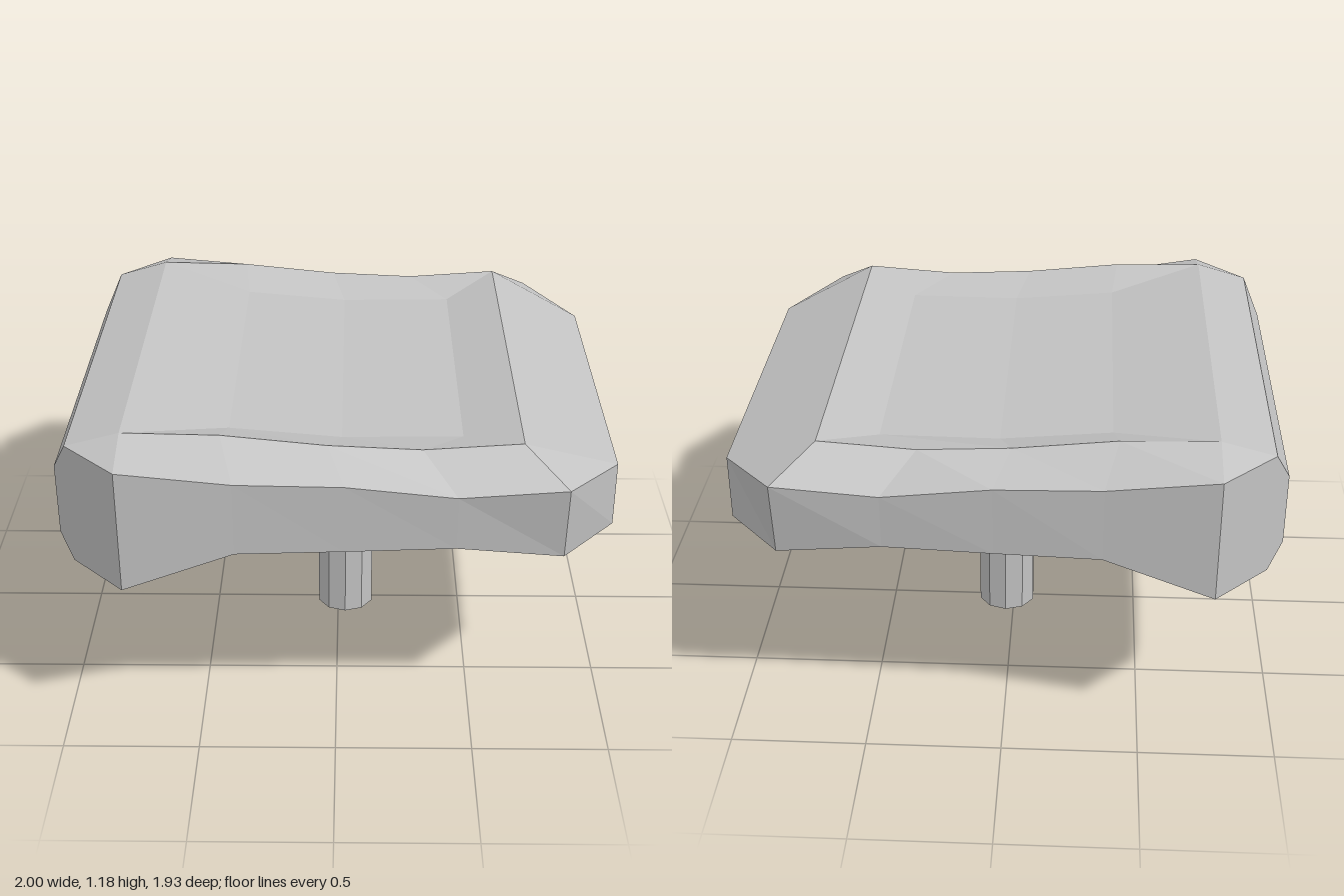
import * as THREE from 'three';

// Half cross-sections of the cushion, left to right, each point as [x, y, z]:
// inner top, top rim, upper side, lower side, bottom rim
const sections = [
  [[-1, 1, .68], [-1, 1, .68], [-1, 1, .68], [-1, .73, .68], [-1, .73, .68]],
  [[-.94, 1.13, .77], [-.94, 1.13, .77], [-.94, 1.13, .77], [-.94, .665, .77], [-.94, .665, .77]],
  [[-.745, 1.185, .775], [-.745, 1.185, .775], [-.745, 1.13, .965], [-.745, .665, .965], [-.745, .61, .775]],
  [[-.38, 1.12, .61], [-.4, 1.178, .775], [-.35, 1.075, .94], [-.35, .8, .94], [-.35, .717, .74]],
  [[.02, 1.085, .61], [-.03, 1.14, .775], [.03, 1.06, .925], [.03, .8, .92], [.03, .735, .71]],
  [[.45, 1.09, .61], [.3, 1.125, .775], [.42, 1.01, .91], [.42, .803, .9], [.42, .755, .67]],
  [[.65, 1.15, .775], [.65, 1.15, .775], [.8, 1.04, .91], [.8, .755, .87], [.8, .69, .62]],
  [[1, 1, .645], [1, 1, .645], [1, 1, .645], [1, .755, .645], [1, .755, .645]],
];

// Skins mirrored sections into a faceted closed solid
function loft(halves) {
  const rings = halves.map((half) => [
    ...half,
    ...half.map(([x, y, z]) => [x, y, -z]).reverse(),
  ].map((p) => new THREE.Vector3(...p)));
  const positions = [];
  const triangle = (a, b, c) => {
    if (new THREE.Triangle(a, b, c).getArea() < 1e-6) return;
    for (const v of [a, b, c]) positions.push(v.x, v.y, v.z);
  };
  const n = rings[0].length;
  for (let i = 0; i < rings.length - 1; i++) {
    for (let j = 0; j < n; j++) {
      const k = (j + 1) % n;
      triangle(rings[i][j], rings[i][k], rings[i + 1][k]);
      triangle(rings[i][j], rings[i + 1][k], rings[i + 1][j]);
    }
  }
  // End caps
  const first = rings[0], last = rings[rings.length - 1];
  for (let j = 1; j < n - 1; j++) {
    triangle(first[0], first[j + 1], first[j]);
    triangle(last[0], last[j], last[j + 1]);
  }
  const geometry = new THREE.BufferGeometry();
  geometry.setAttribute('position', new THREE.Float32BufferAttribute(positions, 3));
  geometry.computeVertexNormals();
  return geometry;
}

export function createModel() {
  const model = new THREE.Group();
  model.name = 'cushionOnPost';

  const grey = new THREE.MeshStandardMaterial({ color: 0xc2c2c2, flatShading: true });
  grey.name = 'light grey';

  // Dished cushion
  const cushion = new THREE.Mesh(loft(sections), grey);
  cushion.name = 'cushion';
  model.add(cushion);

  // Supporting post, its top just inside the cushion
  const post = new THREE.Mesh(new THREE.CylinderGeometry(.115, .115, .76, 10), grey);
  post.name = 'post';
  post.position.set(.03, .38, 0);
  model.add(post);

  return model;
}
